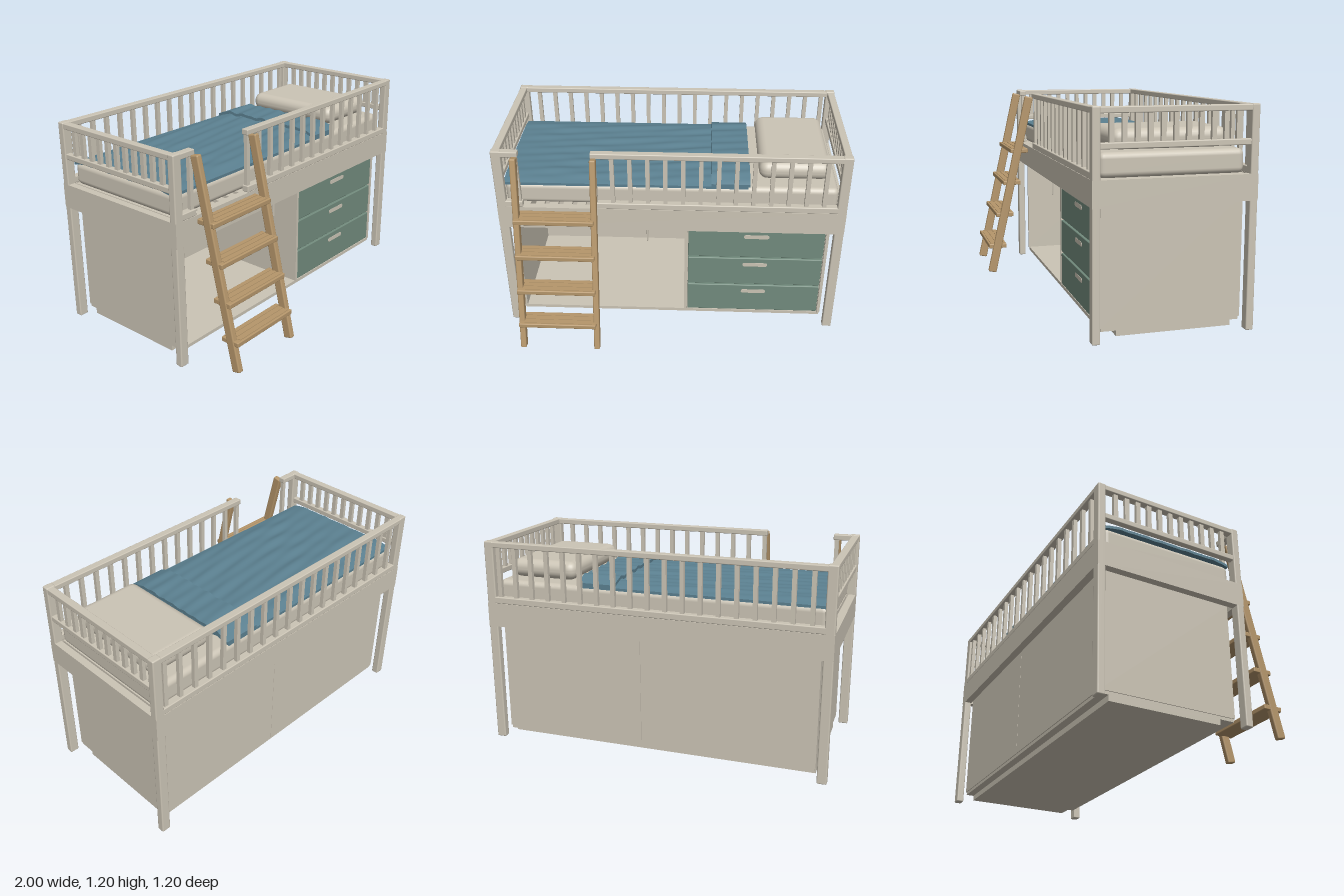
import * as THREE from 'three';
import { RoundedBoxGeometry } from 'three/addons/geometries/RoundedBoxGeometry.js';

const mat = (name, color) => Object.assign(new THREE.MeshStandardMaterial({ color }), { name });

export function createModel() {
  const cream = mat('cream paint', 0xcbc4b5);
  const wood = mat('oak wood', 0xb5966b);
  const green = mat('sage green', 0x728b7d);
  const blue = mat('blue blanket', 0x5b8090);
  const model = new THREE.Group();
  model.name = 'loftBed';

  const add = (parent, name, geo, material) => {
    const m = new THREE.Mesh(geo, material);
    m.name = name;
    parent.add(m);
    return m;
  };
  // Box given by its limits on each axis, with an optional rounding radius
  const block = (parent, name, material, [x0, x1], [y0, y1], [z0, z1], r = 0) => {
    const size = [x1 - x0, y1 - y0, z1 - z0];
    const geo = r ? new RoundedBoxGeometry(...size, 3, r) : new THREE.BoxGeometry(...size);
    const m = add(parent, name, geo, material);
    m.position.set((x0 + x1) / 2, (y0 + y1) / 2, (z0 + z1) / 2);
    return m;
  };
  const group = (name) => {
    const g = new THREE.Group();
    g.name = name;
    model.add(g);
    return g;
  };

  // Frame: corner posts, deep rails and end guards
  const frame = group('frame');
  const FRONT = [0.247, 0.29], BACK = [-0.6, -0.557];
  for (const s of [-1, 1]) {
    const span = (a, b) => (s > 0 ? [a, b] : [-b, -a]);
    for (const z of [FRONT, BACK]) block(frame, 'post', cream, span(0.945, 1), [0, 1.2], z, 0.007);
    block(frame, 'endRail', cream, span(0.958, 1), [0.7, 0.84], [-0.6, 0.29]);
    block(frame, 'endGuardTop', cream, span(0.955, 0.997), [1.165, 1.197], [-0.565, 0.255], 0.005);
    block(frame, 'endGuardBottom', cream, span(0.96, 0.995), [0.99, 1.022], [-0.565, 0.255], 0.005);
    for (let i = 0; i < 11; i++) {
      const z = 0.187 - i * 0.0677;
      block(frame, 'endSlat', cream, span(0.967, 0.987), [1.01, 1.175], [z - 0.013, z + 0.013]);
    }
  }
  for (const z of [FRONT, BACK]) block(frame, 'sideRail', cream, [-0.96, 0.96], [0.7, 0.84], z);

  // Long guards: the front one is broken by the ladder opening
  const guard = (name, x0, x1, z, first, count) => {
    const g = group(name);
    block(g, 'guardTop', cream, [x0, x1], [1.165, 1.197], z, 0.005);
    block(g, 'guardBottom', cream, [x0, x1], [0.84, 0.877], z, 0.005);
    const mid = (z[0] + z[1]) / 2;
    for (let i = 0; i < count; i++) {
      const x = first + i * 0.1;
      block(g, 'guardSlat', cream, [x - 0.012, x + 0.012], [0.87, 1.175], [mid - 0.011, mid + 0.011]);
    }
  };
  guard('backGuard', -0.96, 0.96, BACK, -0.88, 19);
  guard('frontGuard', -0.447, 0.96, FRONT, -0.43, 14);
  guard('frontGuardStub', -0.96, -0.85, FRONT, -0.868, 1);

  // Slatted bed base
  for (let i = 0; i < 24; i++) {
    const x = -0.92 + i * 0.08;
    block(frame, 'baseSlat', cream, [x - 0.025, x + 0.025], [0.815, 0.835], [-0.558, 0.248]);
  }

  // Bedding
  const bedding = group('bedding');
  block(bedding, 'mattress', cream, [-0.953, 0.953], [0.838, 0.968], [-0.545, 0.24], 0.032);
  block(bedding, 'pillow', cream, [0.5, 0.91], [0.972, 1.08], [-0.475, 0.16], 0.05);
  const ripple = (x, z) =>
    0.004 * Math.sin(z * 42 + 2.5 * Math.sin(x * 5)) * Math.cos(x * 6 + z * 4) +
    0.003 * Math.sin(z * 75 + x * 9);
  const cloth = (name, x0, x1, y, thick, lift) => {
    const geo = new THREE.BoxGeometry(x1 - x0, thick, 0.77, 64, 1, 48);
    geo.translate((x0 + x1) / 2, y, -0.152);
    const p = geo.attributes.position;
    for (let i = 0; i < p.count; i++) {
      const x = p.getX(i), z = p.getZ(i);
      const edge = Math.min(1, (0.385 - Math.abs(z + 0.152)) / 0.09);
      const endFade = Math.min(1, (x + 0.96) / 0.25);
      p.setY(i, p.getY(i) + edge * (lift + ripple(x, z) * (0.3 + 0.7 * endFade)) - 0.008 * (1 - edge) ** 2);
    }
    geo.computeVertexNormals();
    add(bedding, name, geo, blue);
  };
  cloth('blanket', -0.96, 0.44, 0.972, 0.016, 0.008);
  cloth('blanketFold', 0.23, 0.45, 0.986, 0.018, 0.022);

  // Cabinet: an open bay beside a chest of drawers
  const cabinet = group('cabinet');
  const Y = [0.06, 0.72], Z = [-0.55, 0.23];
  block(cabinet, 'bayLeftWall', cream, [-0.93, -0.912], Y, Z);
  block(cabinet, 'bayBack', cream, [-0.912, 0.078], Y, [-0.55, -0.535]);
  block(cabinet, 'divider', cream, [0.08, 0.098], Y, Z);
  block(cabinet, 'chestRightWall', cream, [0.912, 0.93], Y, Z);
  block(cabinet, 'chestBack', cream, [0.098, 0.912], Y, [-0.55, -0.535]);
  block(cabinet, 'chestTop', cream, [0.098, 0.912], [0.675, 0.72], [-0.535, 0.23]);
  block(cabinet, 'chestInside', cream, [0.098, 0.912], [0.06, 0.675], [-0.535, 0.21]);
  block(cabinet, 'floor', cream, [-0.925, 0.925], [0.042, 0.062], [-0.545, 0.225]);
  block(cabinet, 'plinth', cream, [-0.925, 0.92], [0.01, 0.042], [-0.5, 0.14]);
  block(cabinet, 'frontKick', cream, [-0.925, 0.92], [0.01, 0.034], [0.12, 0.14]);

  // Drawers with pill-shaped grips
  const pill = new THREE.Shape();
  pill.absarc(0.062, 0, 0.013, -Math.PI / 2, Math.PI / 2);
  pill.absarc(-0.062, 0, 0.013, Math.PI / 2, Math.PI * 1.5);
  const grip = new THREE.ExtrudeGeometry(pill, { depth: 0.006, bevelEnabled: false, curveSegments: 8 });
  for (let i = 0; i < 3; i++) {
    const y = 0.068 + i * 0.204;
    block(cabinet, 'drawerFront', green, [0.102, 0.908], [y, y + 0.194], [0.205, 0.229], 0.005);
    add(cabinet, 'drawerGrip', grip, cream).position.set(0.506, y + 0.149, 0.225);
  }

  // Pull cord and small hooks under the rail
  add(cabinet, 'pullCord', new THREE.CapsuleGeometry(0.005, 0.12, 4, 8), cream).position.set(-0.14, 0.642, 0.225);
  for (const x of [-0.915, 0.06]) {
    add(cabinet, 'hook', new THREE.CapsuleGeometry(0.006, 0.02, 4, 8), cream).position.set(x, 0.695, 0.235);
  }

  // Leaning ladder
  const ladder = group('ladder');
  const lean = 0.224;
  for (const x of [-0.868, -0.428]) {
    const stile = add(ladder, 'ladderStile', new RoundedBoxGeometry(0.034, 1.175, 0.052, 3, 0.008), wood);
    stile.position.set(x, 0.604, 0.443);
    stile.rotation.x = -lean;
  }
  for (let i = 0; i < 4; i++) {
    const y = 0.2 + i * 0.209, z = 0.531 - i * 0.0505;
    block(ladder, 'tread', wood, [-0.882, -0.428], [y - 0.014, y + 0.014], [z - 0.057, z + 0.057], 0.005);
    // Raised grip strips
    for (const dz of [-0.035, 0, 0.035]) {
      block(ladder, 'treadStrip', wood, [-0.85, -0.446], [y + 0.012, y + 0.017], [z + dz - 0.01, z + dz + 0.01]);
    }
  }
  return model;
}
